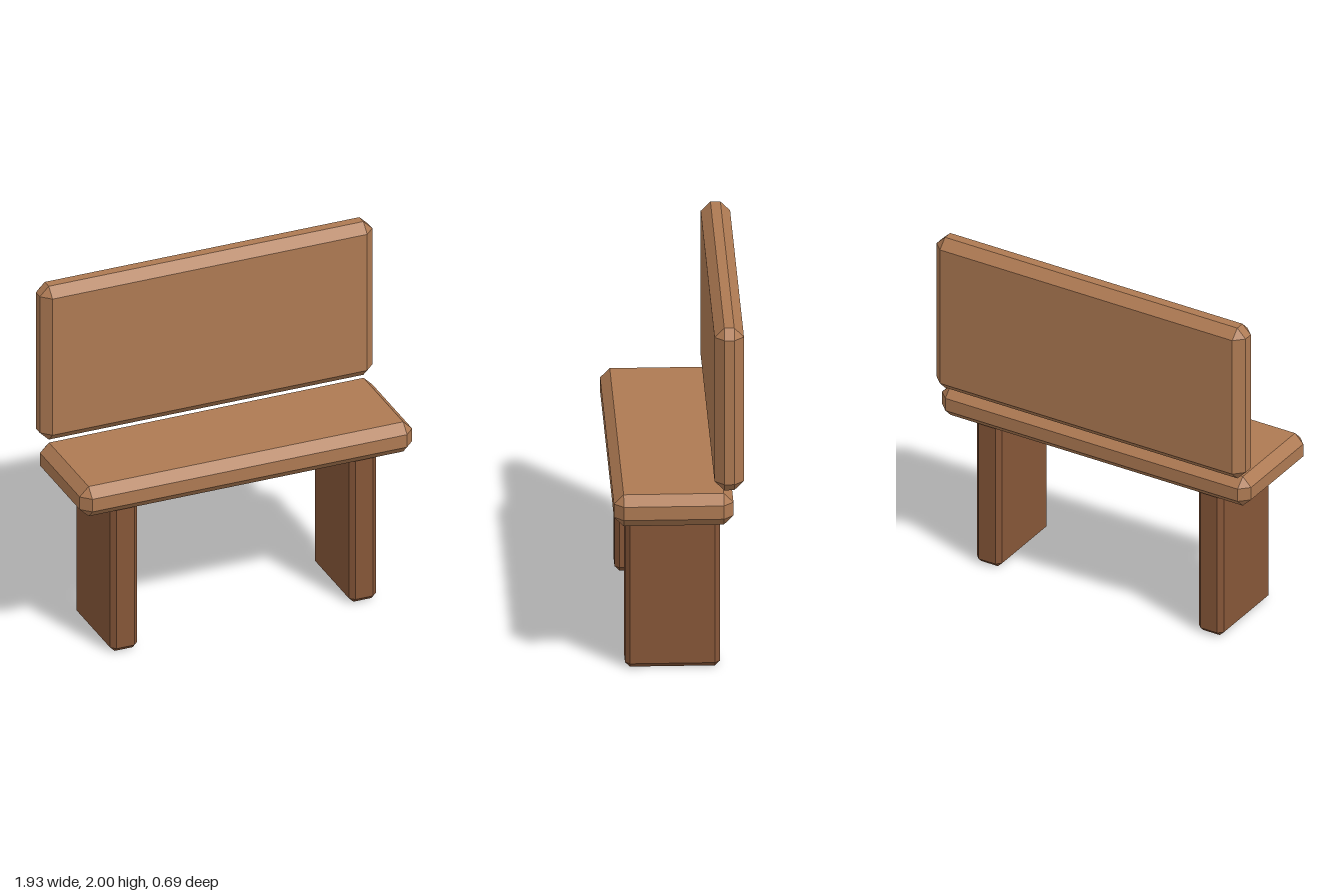
import * as THREE from 'three';
import { ConvexGeometry } from 'three/addons/geometries/ConvexGeometry.js';

// Box between two corners with every edge and corner cut off at 45 degrees
function chamferBox(min, max, bevel) {
  const centre = new THREE.Vector3().addVectors(min, max).multiplyScalar(0.5);
  const half = new THREE.Vector3().subVectors(max, min).multiplyScalar(0.5);
  const points = [];
  for (const sx of [-1, 1]) for (const sy of [-1, 1]) for (const sz of [-1, 1]) {
    for (const axis of [0, 1, 2]) {
      // each corner becomes three points, one on each adjoining face
      const p = half.clone().subScalar(bevel);
      p.setComponent(axis, half.getComponent(axis));
      points.push(p.multiply(new THREE.Vector3(sx, sy, sz)).add(centre));
    }
  }
  return new ConvexGeometry(points);
}

export function createModel() {
  const bench = new THREE.Group();
  bench.name = 'bench';

  const lightWood = new THREE.MeshStandardMaterial({ color: 0xae7a53 });
  lightWood.name = 'lightWood';
  const darkWood = new THREE.MeshStandardMaterial({ color: 0x865638 });
  darkWood.name = 'darkWood';

  const addBlock = (name, min, max, bevel, material) => {
    const geometry = chamferBox(new THREE.Vector3(...min), new THREE.Vector3(...max), bevel);
    const mesh = new THREE.Mesh(geometry, material);
    mesh.name = name;
    bench.add(mesh);
  };

  // Seat and the backrest floating just above its rear edge
  addBlock('seat', [-0.965, 0.873, -0.291], [0.965, 1.053, 0.347], 0.052, lightWood);
  addBlock('backrest', [-0.965, 1.07, -0.347], [0.965, 2, -0.19], 0.052, lightWood);

  // Slab legs, their tops sunk into the seat
  for (const [name, x] of [['rightLeg', -0.693], ['leftLeg', 0.693]]) {
    addBlock(name, [x - 0.078, 0, -0.225], [x + 0.078, 0.93, 0.281], 0.026, darkWood);
  }

  return bench;
}
